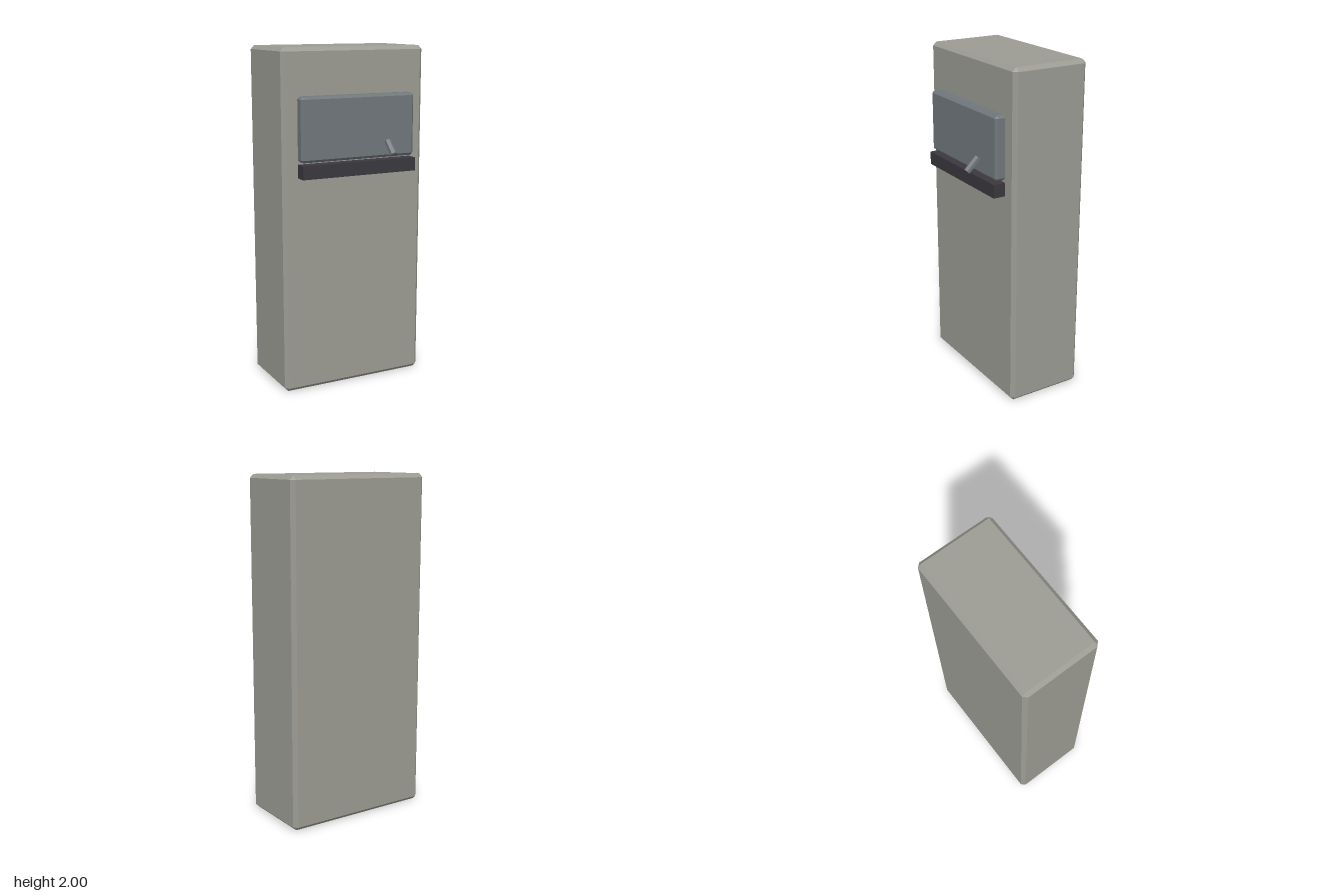
import * as THREE from 'three';
import { ConvexGeometry } from 'three/addons/geometries/ConvexGeometry.js';

// Box with a single flat bevel of size c on every edge, given by its limits
function bevelBox([x0, x1], [y0, y1], [z0, z1], c) {
  const half = [(x1 - x0) / 2, (y1 - y0) / 2, (z1 - z0) / 2];
  const points = [];
  for (const sx of [-1, 1]) for (const sy of [-1, 1]) for (const sz of [-1, 1]) {
    for (let axis = 0; axis < 3; axis++) {
      const p = half.map((h, i) => (i === axis ? h : h - c));
      points.push(new THREE.Vector3(sx * p[0], sy * p[1], sz * p[2]));
    }
  }
  return new ConvexGeometry(points).translate((x0 + x1) / 2, (y0 + y1) / 2, (z0 + z1) / 2);
}

function material(name, color) {
  const m = new THREE.MeshStandardMaterial({ color });
  m.name = name;
  return m;
}

export function createModel() {
  const group = new THREE.Group();
  group.name = 'wallCabinet';
  const bodyGrey = material('warm grey', 0x9c9c94);
  const steel = material('blue grey steel', 0x70777b);
  const dark = material('dark charcoal', 0x3a383d);

  const add = (name, geometry, mat) => {
    const mesh = new THREE.Mesh(geometry, mat);
    mesh.name = name;
    group.add(mesh);
    return mesh;
  };

  // Tall bevelled cabinet
  add('cabinetBody', bevelBox([-0.452, 0.452], [0, 2], [-0.308, 0.163], 0.022), bodyGrey);

  // Raised hatch, its back sunk into the cabinet
  add('hatchPanel', bevelBox([-0.362, 0.362], [1.365, 1.733], [0.12, 0.22], 0.015), steel);

  // Square-edged ledge under the hatch
  const ledge = add('ledge', new THREE.BoxGeometry(0.726, 0.078, 0.115), dark);
  ledge.position.set(0, 1.314, 0.1775);

  // Six-sided handle slanting down and forward
  const handleGeometry = new THREE.CylinderGeometry(0.02, 0.02, 0.1, 6).toNonIndexed();
  handleGeometry.computeVertexNormals();
  const handle = add('handle', handleGeometry, steel);
  handle.rotation.x = -Math.PI / 4;
  handle.position.set(0.181, 1.425, 0.262);

  return group;
}
